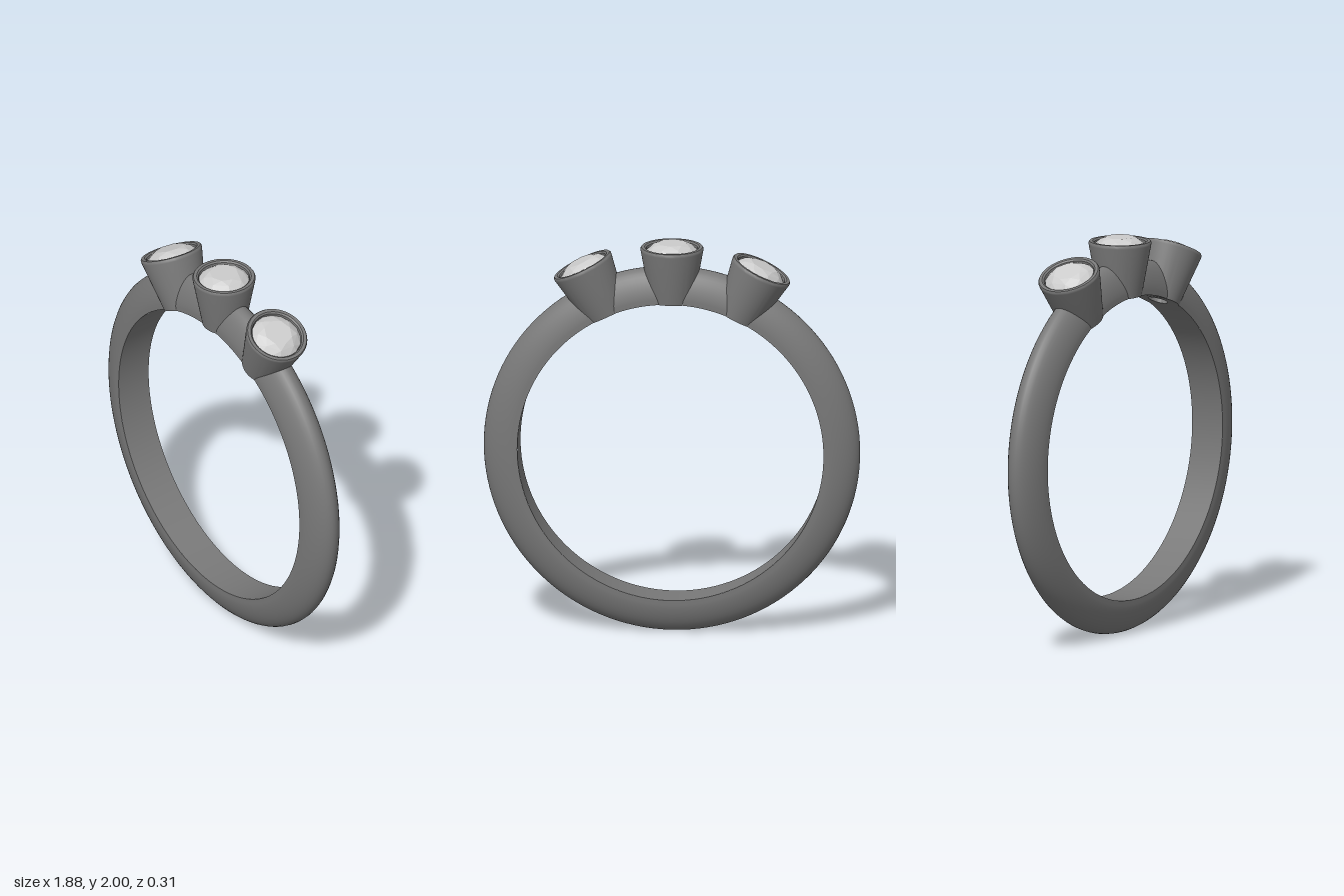
import * as THREE from 'three';
import { toCreasedNormals } from 'three/addons/utils/BufferGeometryUtils.js';
import { ConvexGeometry } from 'three/addons/geometries/ConvexGeometry.js';

const CENTRE_Y = 0.94;   // centre of the finger hole
const INNER = 0.765;     // inner radius of the band
const HALF_W = 0.092;    // half width of the band
const TILT = 0.448;      // angle between neighbouring settings
const GAP = 0.055 / INNER; // half angle left open under each setting

const metal = new THREE.MeshStandardMaterial({ color: 0x787878 });
const stone = new THREE.MeshStandardMaterial({ color: 0xcccccc, flatShading: true });

const v2 = (pairs) => pairs.map(([x, y]) => new THREE.Vector2(x, y));

function addMesh(parent, name, geometry, material) {
  const mesh = new THREE.Mesh(geometry, material);
  mesh.name = name;
  parent.add(mesh);
}

// Revolves a band profile round the z axis; angle 0 is the bottom, PI the top
function revolve(profile, segments, start, length) {
  const g = new THREE.LatheGeometry(v2(profile), segments, start, length);
  return toCreasedNormals(g.rotateX(Math.PI / 2), 0.6);
}

function makeBand() {
  const band = new THREE.Group();
  band.name = 'band';

  // Domed outside with short straight sides
  const outer = [[INNER, -HALF_W]];
  for (let i = 0; i <= 20; i++) {
    const t = (i / 20 - 0.5) * Math.PI;
    outer.push([0.79 + 0.15 * Math.pow(Math.max(0, Math.cos(t)), 1.3), HALF_W * Math.sin(t)]);
  }
  outer.push([INNER, HALF_W]);
  addMesh(band, 'bandOutside', revolve(outer, 128, 0, Math.PI * 2), metal);

  // Flat inside, open where the settings pass through
  const inner = [[INNER, HALF_W], [INNER, -HALF_W]];
  const arcs = [
    [Math.PI + TILT + GAP, 2 * (Math.PI - TILT - GAP), 112],
    [Math.PI - TILT + GAP, TILT - 2 * GAP, 8],
    [Math.PI + GAP, TILT - 2 * GAP, 8],
  ];
  for (const [start, length, n] of arcs) {
    addMesh(band, 'bandInside', revolve(inner, n, start, length), metal);
  }
  return band;
}

// Tapered cup with a drilled base, trimmed to the curve of the finger hole
function makeCup() {
  const base = INNER - 0.001;
  const g = new THREE.LatheGeometry(v2([
    [0.05, base], [0.08, base], [0.108, base],
    [0.156, 1.022], [0.157, 1.032], [0.152, 1.04], [0.136, 1.04], [0.128, 1.033],
    [0.122, 0.99], [0.05, 0.88], [0.05, base],
  ]), 64);
  const p = g.attributes.position;
  for (let i = 0; i < p.count; i++) {
    if (p.getY(i) < base + 0.001) p.setY(i, Math.sqrt(base * base - p.getX(i) ** 2));
  }
  return toCreasedNormals(g, 0.7);
}

// Round brilliant cut: table, crown, girdle and pavilion
function makeGem() {
  const points = [new THREE.Vector3(0, 0.885, 0)];
  const rings = [
    [8, 0.072, 1.06, 0], [8, 0.102, 1.046, 0.5], [16, 0.126, 1.022, 0],
    [16, 0.126, 1.012, 0], [8, 0.07, 0.945, 0.5],
  ];
  for (const [n, r, y, shift] of rings) {
    for (let i = 0; i < n; i++) {
      const a = ((i + shift) / n) * Math.PI * 2;
      points.push(new THREE.Vector3(r * Math.sin(a), y, r * Math.cos(a)));
    }
  }
  return new ConvexGeometry(points);
}

export function createModel() {
  const ring = new THREE.Group();
  ring.name = 'ring';
  const band = makeBand();
  band.position.y = CENTRE_Y;
  ring.add(band);

  // Three settings fanned over the top
  const cup = makeCup();
  const gem = makeGem();
  [['left', -TILT], ['centre', 0], ['right', TILT]].forEach(([side, angle]) => {
    const setting = new THREE.Group();
    setting.name = side + 'Setting';
    addMesh(setting, 'cup', cup, metal);
    addMesh(setting, 'gem', gem, stone);
    setting.position.y = CENTRE_Y;
    setting.rotation.z = angle;
    ring.add(setting);
  });
  return ring;
}
